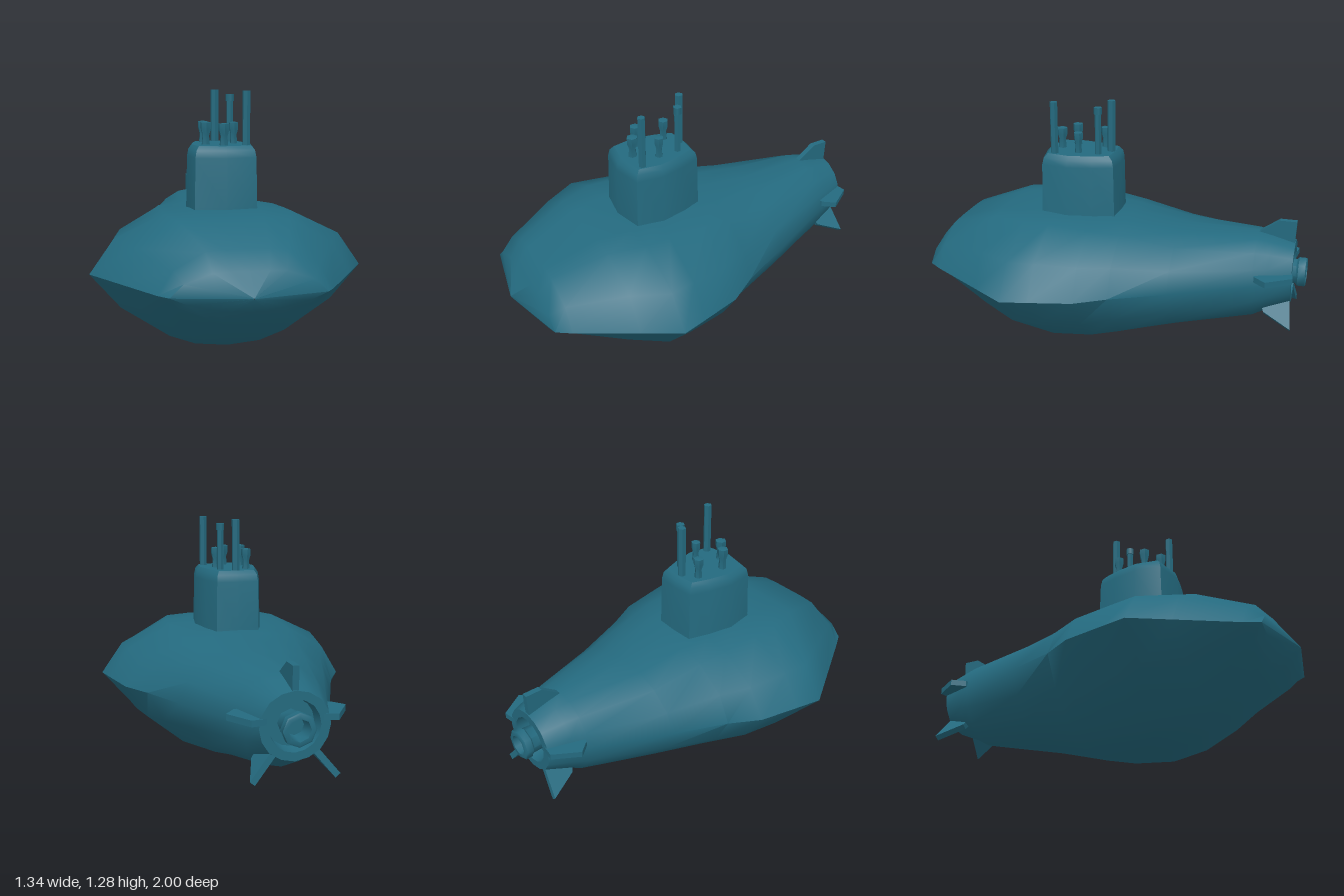
import * as THREE from 'three';
import { toCreasedNormals } from 'three/addons/utils/BufferGeometryUtils.js';

const teal = new THREE.MeshStandardMaterial({ color: 0x246a7f });
teal.name = 'sea teal';

// Skin a list of closed rings ([x, y, z] points); rings run clockwise seen from the start
function loft(rings, crease, capEnd = true) {
  const n = rings[0].length, pos = rings.flat(2), idx = [];
  for (let i = 0; i < rings.length - 1; i++) {
    for (let j = 0; j < n; j++) {
      const a = i * n + j, b = i * n + (j + 1) % n, c = a + n, d = b + n;
      idx.push(a, b, c, b, d, c);
    }
  }
  if (capEnd) {
    const s = (rings.length - 1) * n;
    for (let j = 1; j < n - 1; j++) idx.push(s, s + j, s + j + 1);
  }
  const g = new THREE.BufferGeometry();
  g.setAttribute('position', new THREE.Float32BufferAttribute(pos, 3));
  g.setIndex(idx);
  return toCreasedNormals(g, crease);
}

// Half outlines from top to bottom: sharp-edged bow and round tail
const BOW = [[0, 1], [0.25, 1], [0.47, 0.97], [0.83, 0.56], [1, 0], [0.78, -0.44], [0.43, -0.84], [0.24, -0.96], [0, -1]];
const TAIL = [[0, 1], [0.38, 0.92], [0.71, 0.71], [0.92, 0.38], [1, 0], [0.92, -0.38], [0.71, -0.71], [0.38, -0.92], [0, -1]];

function hullRing([z, w, top, mid, bot, t]) {
  const half = BOW.map(([bx, by], k) => {
    const x = bx + (TAIL[k][0] - bx) * t, y = by + (TAIL[k][1] - by) * t;
    return [x * w, mid + y * (y > 0 ? top - mid : mid - bot), z];
  });
  const mirror = half.slice(1, -1).reverse().map(([x, y, zz]) => [-x, y, zz]);
  return [...half, ...mirror];
}

export function createModel() {
  const model = new THREE.Group();
  model.name = 'submarine';
  const add = (name, geo, parent = model) => {
    const m = new THREE.Mesh(geo, teal);
    m.name = name;
    parent.add(m);
    return m;
  };

  // Hull: z, half width, top, edge height, bottom, roundness; ends in a stern recess
  const sections = [
    [1.0, 0.002, 0.43, 0.428, 0.426, 0],
    [0.92, 0.35, 0.53, 0.425, 0.35, 0],
    [0.85, 0.395, 0.61, 0.42, 0.28, 0],
    [0.58, 0.56, 0.70, 0.42, 0.11, 0],
    [0.40, 0.67, 0.71, 0.42, 0.035, 0],
    [0.27, 0.64, 0.71, 0.42, 0.0, 0.05],
    [0.06, 0.59, 0.708, 0.42, 0.018, 0.2],
    [-0.09, 0.50, 0.705, 0.42, 0.05, 0.4],
    [-0.36, 0.39, 0.67, 0.43, 0.125, 0.7],
    [-0.75, 0.23, 0.665, 0.45, 0.21, 1],
    [-0.82, 0.205, 0.65, 0.455, 0.25, 1],
    [-0.935, 0.165, 0.62, 0.46, 0.30, 1],
    [-0.935, 0.12, 0.58, 0.46, 0.34, 1],
    [-0.87, 0.11, 0.57, 0.46, 0.35, 1],
  ];
  add('hull', loft(sections.map(hullRing), 0.85));

  // Conning tower: plan outline lofted upward with a rounded top edge
  const plan = [[-0.11, -0.01], [-0.145, 0.09], [-0.172, 0.22], [-0.15, 0.355], [0, 0.385],
    [0.15, 0.355], [0.172, 0.22], [0.145, 0.09], [0.11, -0.01], [0, -0.02]];
  const levels = [[0.66, 1.06], [0.72, 1.03], [0.96, 1], [0.995, 0.96], [1.016, 0.86]];
  const towerRings = levels.map(([y, s]) => plan.map(([x, z]) => [x * s, y, 0.18 + (z - 0.18) * s]));
  add('conningTower', loft(towerRings, 0.7));

  // Masts: straight tall ones and short ones with a flared head
  const masts = new THREE.Group();
  masts.name = 'masts';
  model.add(masts);
  for (const [x, z, top, r] of [[0, 0.03, 1.28, 0.021], [0.11, 0.3, 1.28, 0.02], [0.07, 0.08, 1.255, 0.017]]) {
    const g = new THREE.CylinderGeometry(r, r, top - 1, 6);
    add('tallMast', toCreasedNormals(g, 0.6), masts).position.set(x, (top + 1) / 2, z);
  }
  add('periscopeHead', new THREE.CylinderGeometry(0.022, 0.022, 0.035, 6), masts).position.set(0.07, 1.24, 0.08);
  for (const [x, z, top, r] of [[-0.08, 0.235, 1.13, 0.027], [-0.07, 0.08, 1.125, 0.026], [0.07, 0.185, 1.125, 0.024], [0, 0.295, 1.125, 0.028]]) {
    const profile = [[r * 0.85, 1], [r * 0.65, 1.06], [r, top - 0.035], [r, top - 0.005], [0, top]];
    const g = new THREE.LatheGeometry(profile.map(p => new THREE.Vector2(...p)), 6);
    add('shortMast', toCreasedNormals(g, 0.7), masts).position.set(x, 0, z);
  }

  // Tail fins: outlines in (distance from axis, z)
  const fin = (name, outline, angle, y) => {
    const g = new THREE.ExtrudeGeometry(new THREE.Shape(outline.map(p => new THREE.Vector2(...p))),
      { depth: 0.03, bevelEnabled: false });
    g.translate(0, 0, -0.015).rotateX(Math.PI / 2).rotateZ(angle);
    add(name, g).position.y = y;
  };
  const side = [[0.13, -0.935], [0.2, -0.945], [0.28, -0.82], [0.23, -0.76], [0.13, -0.74]];
  const lower = [[0.13, -0.93], [0.31, -0.95], [0.235, -0.81], [0.13, -0.77]];
  fin('topFin', [[0.13, -0.93], [0.27, -0.935], [0.27, -0.85], [0.2, -0.75], [0.13, -0.74]], Math.PI / 2, 0.46);
  fin('leftFin', side, 0, 0.49);
  fin('rightFin', side, Math.PI, 0.49);
  fin('lowerLeftFin', lower, -0.88, 0.46);
  fin('lowerRightFin', lower, Math.PI + 0.88, 0.46);

  // Hollow thruster in the stern recess
  const duct = [[0.062, -0.87], [0.066, -0.95], [0.078, -0.96], [0.078, -0.995], [0.07, -1], [0.052, -1], [0.045, -0.92], [0, -0.92]];
  const ductGeo = new THREE.LatheGeometry(duct.map(([r, z]) => new THREE.Vector2(r, -z)), 8);
  ductGeo.rotateX(-Math.PI / 2);
  add('thruster', toCreasedNormals(ductGeo, 0.8)).position.y = 0.46;

  return model;
}
